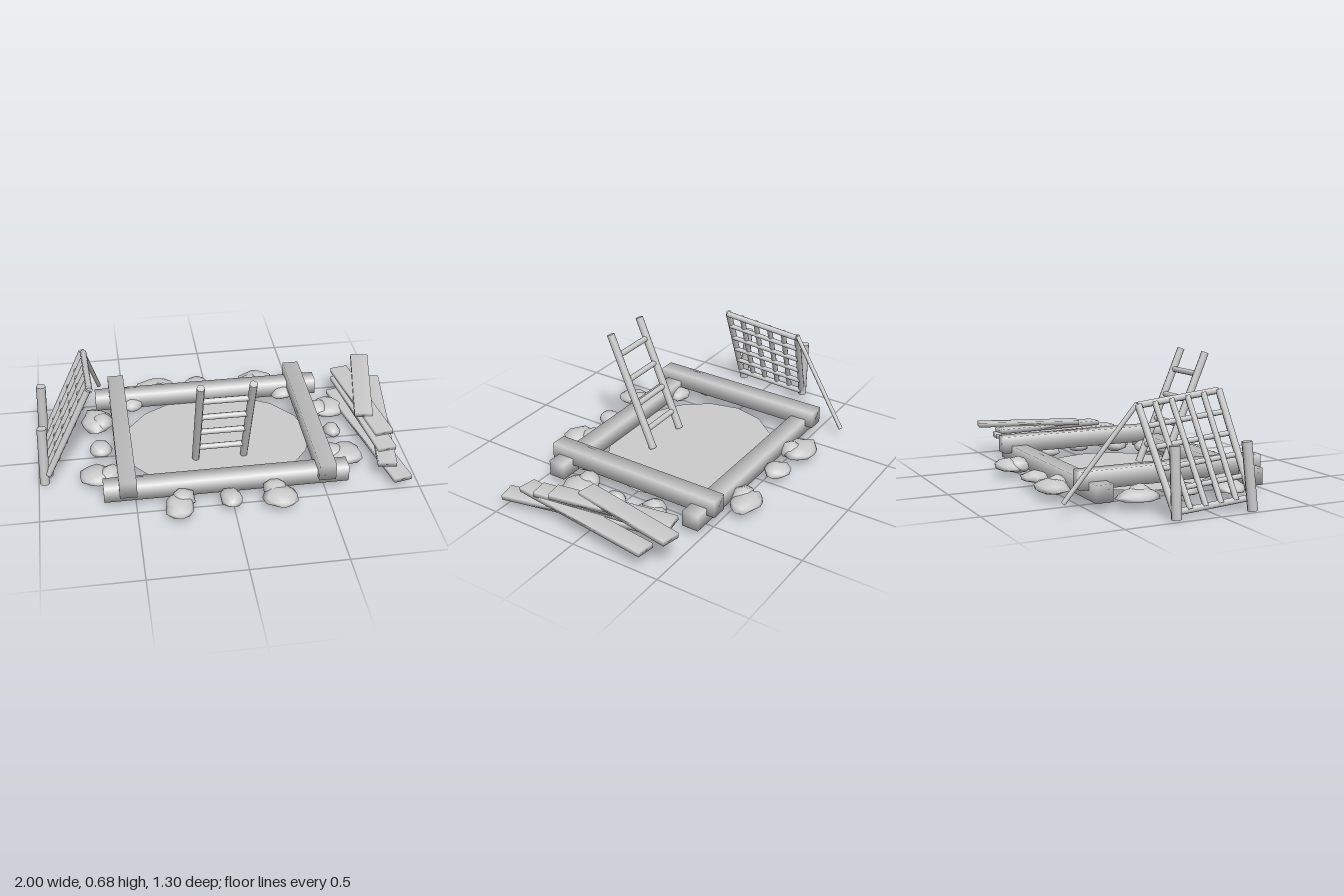
import * as THREE from 'three';
import { mergeVertices } from 'three/addons/utils/BufferGeometryUtils.js';

const grey = new THREE.MeshStandardMaterial({ color: 0xcccccc });
const greySheet = new THREE.MeshStandardMaterial({ color: 0xcccccc, side: THREE.DoubleSide });
grey.name = 'stone grey';
greySheet.name = 'stone grey sheet';

const V = (x, y, z) => new THREE.Vector3(x, y, z);

// Shares corners between faces so the shading runs smoothly over the edges
function smooth(geometry) {
  geometry.deleteAttribute('normal');
  geometry.deleteAttribute('uv');
  const g = mergeVertices(geometry, 1e-4);
  g.computeVertexNormals();
  return g;
}

export function createModel() {
  const root = new THREE.Group();
  root.name = 'coveredPit';

  const group = (name) => {
    const g = new THREE.Group();
    g.name = name;
    root.add(g);
    return g;
  };

  const add = (parent, name, geometry, material = grey) => {
    const m = new THREE.Mesh(geometry, material);
    m.name = name;
    parent.add(m);
    return m;
  };

  // Round pole between two points
  const pole = (parent, name, a, b, r, sides = 8) => {
    const m = add(parent, name, new THREE.CylinderGeometry(r, r, a.distanceTo(b), sides));
    m.position.copy(a).lerp(b, 0.5);
    m.quaternion.setFromUnitVectors(V(0, 1, 0), b.clone().sub(a).normalize());
    return m;
  };

  // Squared timber between two points
  const timber = (parent, name, a, b, w, h) => {
    const m = add(parent, name, smooth(new THREE.BoxGeometry(w, h, a.distanceTo(b))));
    m.position.copy(a).lerp(b, 0.5);
    m.lookAt(b);
    return m;
  };

  // Pit floor
  const floor = add(root, 'pitFloor', new THREE.CircleGeometry(1, 16), greySheet);
  floor.scale.set(0.52, 0.43, 1);
  floor.rotation.x = -Math.PI / 2;
  floor.position.set(-0.02, 0.037, -0.02);

  // Log frame: two long beams with two cross beams laid over them
  const frame = group('frame');
  for (const z of [-0.44, 0.4]) timber(frame, 'longBeam', V(-0.665, 0.083, z), V(0.625, 0.083, z), 0.092, 0.088);
  for (const x of [-0.54, 0.5]) timber(frame, 'crossBeam', V(x, 0.134, -0.53), V(x, 0.134, 0.485), 0.09, 0.092);

  // Ladder leaning out of the pit
  const ladder = group('ladder');
  const onLadder = (x, y) => V(x, y, 0.14 + (y - 0.05) * 0.425);
  for (const x of [-0.152, 0.112]) pole(ladder, 'ladderRail', onLadder(x, 0.045), onLadder(x, 0.67), 0.021);
  for (const y of [0.145, 0.288, 0.42, 0.556]) pole(ladder, 'ladderRung', onLadder(-0.152, y), onLadder(0.112, y), 0.016);

  // Leaning lattice cover
  const lattice = group('latticeCover');
  const topFront = V(-0.705, 0.548, 0.155), topBack = V(-0.72, 0.505, -0.293);
  const lowFront = V(-0.945, 0.06, 0.195), lowBack = V(-0.955, 0.035, -0.225);
  const side = V(-0.009, 0.004, 0);
  for (let i = 0; i <= 5; i++) {
    const t = i / 5;
    const edge = i === 0 || i === 5;
    pole(lattice, 'uprightBar', lowFront.clone().lerp(lowBack, t), topFront.clone().lerp(topBack, t), edge ? 0.018 : 0.015);
    pole(lattice, 'crossBar', lowFront.clone().lerp(topFront, t).sub(side), lowBack.clone().lerp(topBack, t).sub(side), edge ? 0.017 : 0.014);
  }

  // Posts and prop that hold the lattice
  pole(root, 'frontPost', V(-0.969, 0, 0.19), V(-0.957, 0.335, 0.158), 0.026);
  pole(root, 'backPost', V(-0.969, 0.003, -0.222), V(-0.957, 0.345, -0.228), 0.026);
  pole(root, 'latticeProp', V(-0.717, 0.51, -0.297), V(-0.637, 0.05, -0.643), 0.012);

  // Loose pile of planks, bottom to top
  const pile = group('plankPile');
  const planks = [
    [0.735, 0.07, -0.36, 0.905, 0.062, 0.505],
    [0.96, 0.105, -0.41, 0.84, 0.1, 0.42],
    [0.77, 0.128, -0.41, 0.865, 0.125, 0.32],
    [0.775, 0.163, -0.445, 0.875, 0.155, 0.215],
    [0.918, 0.187, -0.525, 0.795, 0.178, 0.065],
  ];
  for (const [ax, ay, az, bx, by, bz] of planks) timber(pile, 'plank', V(ax, ay, az), V(bx, by, bz), 0.1, 0.026);

  // Flat, irregular stones around the frame: x, z, half width, half depth, half height
  let seed = 7;
  const rand = () => (seed = (seed * 16807) % 2147483647) / 2147483647;
  const stones = group('stones');
  const addStone = (x, z, rx, rz, ry) => {
    const g = smooth(new THREE.IcosahedronGeometry(1, 1));
    const p = g.attributes.position;
    for (let i = 0; i < p.count; i++) {
      const k = 0.86 + rand() * 0.26;
      const y = p.getY(i);
      p.setXYZ(i, p.getX(i) * k * rx, (y < 0 ? y * 0.55 : y) * k * ry, p.getZ(i) * k * rz);
    }
    g.computeVertexNormals();
    add(stones, 'stone', g).position.set(x, 0.052, z);
  };
  const stoneList = [
    [-0.31, -0.56, 0.115, 0.085], [0.29, -0.565, 0.11, 0.08], [-0.055, -0.55, 0.075, 0.075],
    [-0.67, -0.27, 0.085, 0.11], [-0.66, 0, 0.06, 0.07], [-0.69, 0.235, 0.095, 0.09],
    [0.66, -0.22, 0.1, 0.09], [0.635, 0.005, 0.045, 0.06], [0.65, 0.23, 0.1, 0.095],
    [-0.285, 0.54, 0.08, 0.1], [-0.015, 0.52, 0.06, 0.075], [0.24, 0.54, 0.09, 0.09],
  ];
  for (const [x, z, rx, rz] of stoneList) addStone(x, z, rx, rz, 0.042);

  // Smaller stones wedged against the beams and under the corners
  const wedged = [
    [-0.275, -0.52], [0.255, -0.525], [-0.64, -0.245], [-0.625, 0.24],
    [0.6, -0.205], [0.585, 0.22], [-0.26, 0.485], [0.22, 0.485],
  ];
  for (const [x, z] of wedged) addStone(x, z, 0.065, 0.065, 0.055);
  for (const [x, z] of [[-0.46, -0.4], [0.43, -0.4], [-0.47, 0.34], [0.44, 0.34]]) addStone(x, z, 0.07, 0.055, 0.045);

  return root;
}
